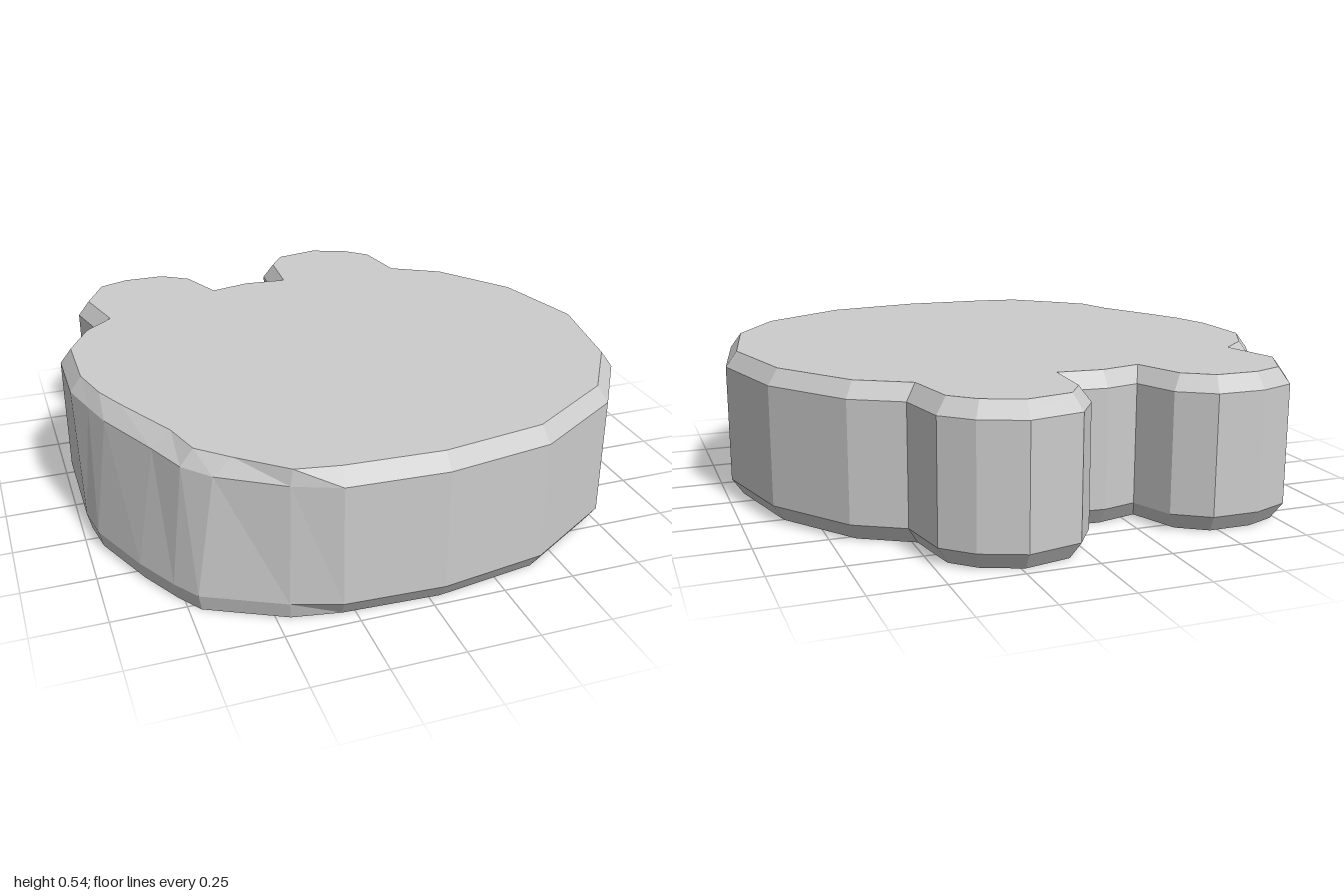
import * as THREE from 'three';

// Outline as [x, z], running right ear, left ear, left cheek, chin, right cheek.
// Entries with four numbers also give the [x, z] of the top edge where the cheek is dented.
const OUTLINE = [
  [-0.98, -0.21], [-0.89, -0.38], [-0.80, -0.46],
  [-0.85, -0.66], [-0.76, -0.84], [-0.63, -0.89], [-0.46, -0.89], [-0.34, -0.81], [-0.28, -0.66],
  [-0.16, -0.69], [-0.035, -0.68],
  [-0.025, -0.85], [0.05, -0.96], [0.24, -1.0], [0.39, -0.94], [0.485, -0.85], [0.52, -0.65],
  [0.69, -0.55], [0.89, -0.27], [0.98, 0.09], [0.91, 0.47], [0.74, 0.73], [0.41, 0.935],
  [0.04, 0.995], [-0.30, 0.98],
  [-0.46, 0.925, -0.44, 0.915], [-0.72, 0.79, -0.59, 0.785], [-0.78, 0.70, -0.69, 0.69],
  [-0.86, 0.55, -0.73, 0.55], [-0.96, 0.31, -0.85, 0.31], [-0.98, 0.18, -0.90, 0.20], [-0.98, 0.05],
];
const HEIGHT = 0.535, LOW = 0.06, SHOULDER = 0.48, BEVEL = 0.04;

// Mitred inward offset of the outline at point i
function inset(i, width) {
  const n = OUTLINE.length;
  const at = (k) => new THREE.Vector2(OUTLINE[(k + n) % n][0], OUTLINE[(k + n) % n][1]);
  const normal = (a, b) => { const d = b.sub(a).normalize(); return new THREE.Vector2(-d.y, d.x); };
  const n1 = normal(at(i - 1), at(i)), n2 = normal(at(i), at(i + 1));
  const scale = width / (1 + n1.dot(n2));
  return at(i).add(n1.add(n2).multiplyScalar(scale));
}

function slabGeometry() {
  const outer = OUTLINE.map(([x, z]) => new THREE.Vector2(x, z));
  const bottom = OUTLINE.map((p, i) => inset(i, p.length > 2 ? 0.015 : BEVEL));
  const top = OUTLINE.map((p, i) => (p.length > 2 ? new THREE.Vector2(p[2], p[3]) : inset(i, BEVEL)));
  const shoulder = OUTLINE.map((p, i) => (p.length > 2 ? outer[i].clone().lerp(top[i], 0.5) : outer[i]));
  const rings = [[bottom, 0], [outer, LOW], [shoulder, SHOULDER], [top, HEIGHT]];

  const n = OUTLINE.length, positions = [], index = [];
  for (const [ring, y] of rings) for (const p of ring) positions.push(p.x, y, p.y);

  // Bevels and wall
  for (let r = 0; r < rings.length - 1; r++) {
    for (let i = 0; i < n; i++) {
      const j = (i + 1) % n, a = r * n + i, b = r * n + j;
      index.push(a, a + n, b + n, a, b + n, b);
    }
  }
  // Flat caps
  const cap = (ring, offset, facing) => {
    for (const [a, b, c] of THREE.ShapeUtils.triangulateShape(ring, [])) {
      const up = -THREE.ShapeUtils.area([ring[a], ring[b], ring[c]]);
      if (up * facing > 0) index.push(offset + a, offset + b, offset + c);
      else index.push(offset + a, offset + c, offset + b);
    }
  };
  cap(bottom, 0, -1);
  cap(top, 3 * n, 1);

  const indexed = new THREE.BufferGeometry();
  indexed.setAttribute('position', new THREE.Float32BufferAttribute(positions, 3));
  indexed.setIndex(index);
  const geometry = indexed.toNonIndexed();
  geometry.computeVertexNormals();
  return geometry;
}

export function createModel() {
  const group = new THREE.Group();
  group.name = 'earedSlab';
  const material = new THREE.MeshStandardMaterial({ color: 0xcccccc, flatShading: true });
  const slab = new THREE.Mesh(slabGeometry(), material);
  slab.name = 'bevelledHeadSlab';
  group.add(slab);
  return group;
}
